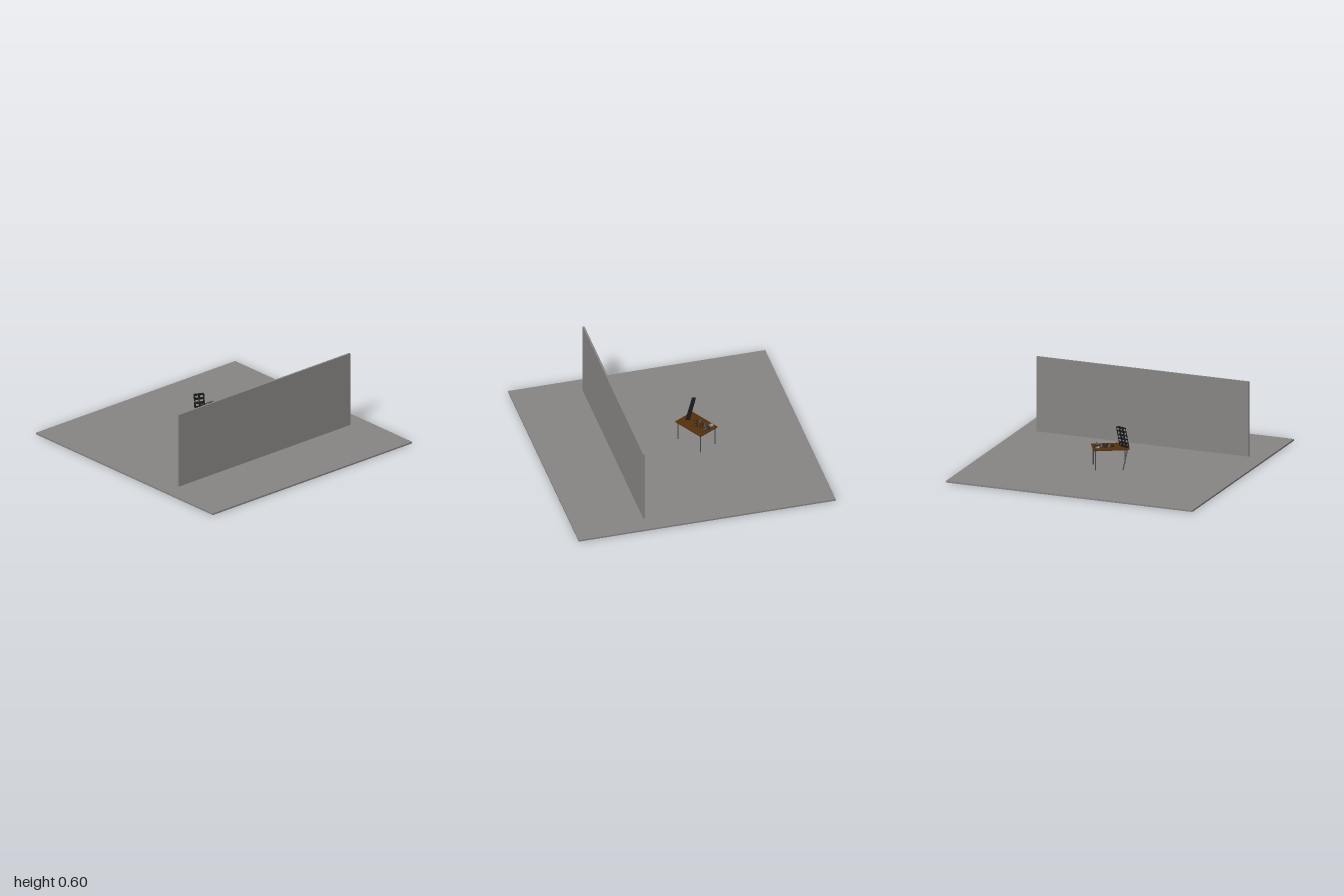
import * as THREE from 'three';

const mat = (name, color) => {
  const m = new THREE.MeshStandardMaterial({ color });
  m.name = name;
  return m;
};

export function createModel() {
  const concrete = mat('concrete grey', 0x878583);
  const wood = mat('brown wood', 0x52300d);
  const metal = mat('leg grey', 0x4a4a4c);
  const black = mat('black', 0x17181b);
  const clay = mat('dark clay', 0x3a220e);
  const glass = mat('pale grey', 0x77797d);
  glass.side = THREE.DoubleSide;

  const model = new THREE.Group();
  model.name = 'roomScene';

  const add = (parent, name, geometry, material, x, y, z) => {
    const mesh = new THREE.Mesh(geometry, material);
    mesh.name = name;
    mesh.position.set(x, y, z);
    parent.add(mesh);
    return mesh;
  };
  const box = (parent, name, material, w, h, d, x, y, z) =>
    add(parent, name, new THREE.BoxGeometry(w, h, d), material, x, y, z);

  // Cylinder running between two points
  const rod = (parent, name, material, a, b, r) => {
    const dir = b.clone().sub(a);
    const mesh = add(parent, name, new THREE.CylinderGeometry(r, r, dir.length(), 12), material, 0, 0, 0);
    mesh.position.copy(a).add(b).multiplyScalar(0.5);
    mesh.quaternion.setFromUnitVectors(new THREE.Vector3(0, 1, 0), dir.normalize());
    return mesh;
  };

  // Floor slab and partition wall
  const floorTop = 0.013;
  box(model, 'floor', concrete, 2, floorTop, 2, 0, floorTop / 2, 0);
  box(model, 'wall', concrete, 1.72, 0.6 - floorTop, 0.014, 0, (0.6 + floorTop) / 2, 0.452);

  // Table, turned on the floor
  const table = new THREE.Group();
  table.name = 'table';
  table.position.set(0, 0, -0.19);
  table.rotation.y = THREE.MathUtils.degToRad(29);
  model.add(table);
  const deck = 0.172;
  box(table, 'tableTop', wood, 0.272, 0.007, 0.18, 0, deck - 0.0035, 0);

  // Three upright legs and one splayed leg
  for (const sx of [-1, 1]) for (const sz of [-1, 1]) {
    const top = new THREE.Vector3(sx * 0.12, deck - 0.006, sz * 0.076);
    const foot = top.clone().setY(floorTop);
    if (sx < 0 && sz < 0) foot.add(new THREE.Vector3(0.036, 0, -0.025));
    rod(table, 'tableLeg', metal, top, foot, 0.0045);
  }

  // Leaning rack of open shelves on the table
  const rack = new THREE.Group();
  rack.name = 'rack';
  rack.position.set(-0.1, deck, -0.155);
  rack.rotation.y = THREE.MathUtils.degToRad(-24);
  model.add(rack);
  const height = 0.156, lean = 0.036;
  for (const x of [-0.036, 0, 0.036]) for (const z of [-0.012, 0.012]) {
    rod(rack, 'rackPost', black, new THREE.Vector3(x, 0, z), new THREE.Vector3(x, height, z - lean), 0.003);
  }
  for (let i = 0; i < 6; i++) {
    const t = i / 5;
    box(rack, 'rackShelf', black, 0.078, 0.005, 0.03, 0, 0.003 + t * (height - 0.003), -lean * t);
  }

  // Open bowl
  const bowlProfile = [[0.001, 0], [0.009, 0.001], [0.016, 0.007], [0.019, 0.015]]
    .map(([x, y]) => new THREE.Vector2(x, y));
  add(model, 'bowl', new THREE.LatheGeometry(bowlProfile, 24), glass, 0.062, deck, -0.288);

  // Small bottles with narrow necks
  const bottleProfile = [[0, 0], [0.011, 0], [0.012, 0.012], [0.005, 0.022], [0.004, 0.034], [0, 0.034]]
    .map(([x, y]) => new THREE.Vector2(x, y));
  const bottleGeometry = new THREE.LatheGeometry(bottleProfile, 16);
  for (const [x, z] of [[0.095, -0.235], [-0.005, -0.222], [0.05, -0.243]]) {
    add(model, 'bottle', bottleGeometry, metal, x, deck, z);
  }

  // Low clay pots
  const potProfile = [[0, 0], [0.01, 0], [0.015, 0.008], [0.011, 0.018], [0, 0.016]]
    .map(([x, y]) => new THREE.Vector2(x, y));
  const potGeometry = new THREE.LatheGeometry(potProfile, 16);
  for (const [x, z] of [[0.02, -0.182], [-0.015, -0.19], [0.025, -0.225], [0.052, -0.212], [0.09, -0.255]]) {
    add(model, 'pot', potGeometry, clay, x, deck, z);
  }

  return model;
}
